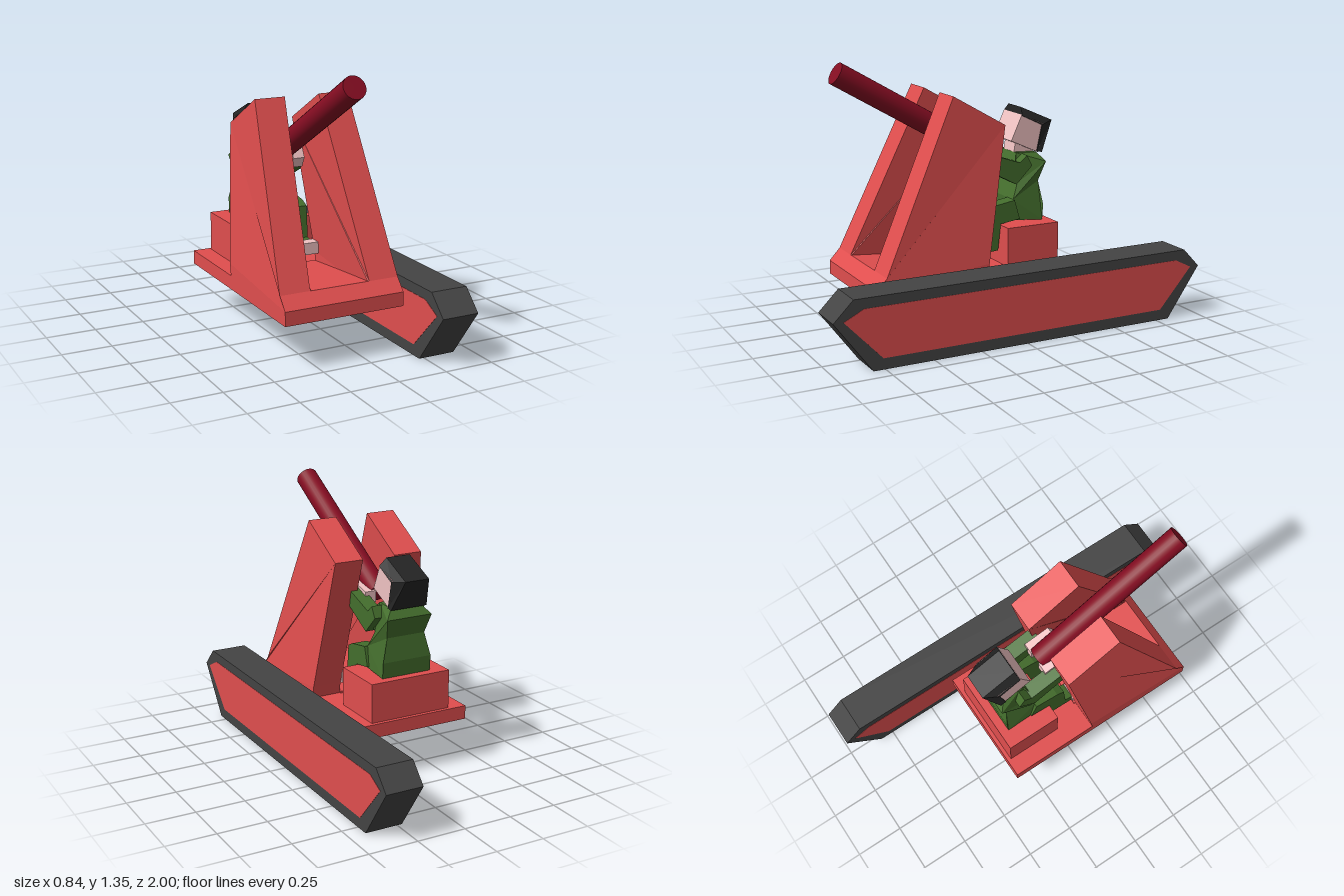
import * as THREE from 'three';

const CX = -0.11; // centre line of the hull, gun and driver
const COLORS = { red: 0xe04e4e, rubber: 0x444444, gun: 0x850d22, green: 0x446e2d, skin: 0xf0c2c2, black: 0x242424 };
const mats = {};
for (const k in COLORS) {
  mats[k] = new THREE.MeshStandardMaterial({ color: COLORS[k], flatShading: k !== 'gun' });
}

// Extrudes a side profile of [z, y] points across x; shape(v, s) may move each vertex, s = side -1 / 1
function slab(name, mat, profile, x, width, shape) {
  const outline = new THREE.Shape(profile.map(([z, y]) => new THREE.Vector2(z, y)));
  const g = new THREE.ExtrudeGeometry(outline, { depth: width, bevelEnabled: false });
  g.rotateY(-Math.PI / 2).translate(width / 2, 0, 0);
  const p = g.attributes.position;
  const v = new THREE.Vector3();
  for (let i = 0; i < p.count; i++) {
    v.fromBufferAttribute(p, i);
    if (shape) shape(v, Math.sign(v.x));
    p.setXYZ(i, v.x + x, v.y, v.z);
  }
  g.computeVertexNormals();
  const mesh = new THREE.Mesh(g, mats[mat]);
  mesh.name = name;
  return mesh;
}

// Linear interpolation through [y, value] stops
function stops(list, y) {
  if (y <= list[0][0]) return list[0][1];
  for (let i = 1; i < list.length; i++) {
    const [a, b] = [list[i - 1], list[i]];
    if (y <= b[0]) return a[1] + ((b[1] - a[1]) * (y - a[0])) / (b[0] - a[0]);
  }
  return list[list.length - 1][1];
}

const rect = (z0, z1, y0, y1) => [[z0, y0], [z1, y0], [z1, y1], [z0, y1]];

function buildTrack() {
  const track = new THREE.Group();
  track.name = 'track';
  track.add(slab('trackBelt', 'rubber',
    [[1, 0.255], [0.9, 0.355], [-0.91, 0.355], [-1, 0.26], [-0.82, 0], [0.81, 0]], 0.32, 0.19));
  // inset panels on both faces
  const panel = [[0.95, 0.255], [0.85, 0.305], [-0.86, 0.305], [-0.95, 0.26], [-0.77, 0.055], [0.76, 0.055]];
  track.add(slab('trackPanels', 'red', panel, 0.32, 0.193));
  return track;
}

function buildHull() {
  const hull = new THREE.Group();
  hull.name = 'hull';
  hull.add(slab('basePlate', 'red', rect(-0.36, 0.7, 0.23, 0.3), CX, 0.62));
  hull.add(slab('frontSill', 'red', [[0.7, 0.3], [0.645, 0.36], [0.1, 0.31], [0.1, 0.3]], CX, 0.31));
  hull.add(slab('seat', 'red', rect(-0.34, -0.05, 0.3, 0.5), CX, 0.44));

  // two shields leaning inward towards the top
  const side = [[0.7, 0.3], [0.645, 0.36], [0.26, 1.19], [-0.02, 1.03], [0.1, 0.36], [0.11, 0.3]];
  for (const m of [-1, 1]) {
    hull.add(slab(m > 0 ? 'leftShield' : 'rightShield', 'red', side, CX, 0.2, (v, s) => {
      const top = v.y > 0.5;
      const outer = s === m;
      v.x = m * (outer ? (top ? 0.245 : 0.31) : (top ? 0.09 : 0.155));
    }));
  }

  // gun barrel tilted 30 degrees up
  const a = new THREE.Vector3(CX, 0.85, -0.02);
  const b = new THREE.Vector3(CX, 1.302, 0.76);
  const barrel = new THREE.Mesh(new THREE.CylinderGeometry(0.057, 0.057, a.distanceTo(b), 24), mats.gun);
  barrel.name = 'barrel';
  barrel.position.copy(a).lerp(b, 0.5);
  barrel.quaternion.setFromUnitVectors(new THREE.Vector3(0, 1, 0), b.clone().sub(a).normalize());
  hull.add(barrel);
  return hull;
}

function buildDriver() {
  const driver = new THREE.Group();
  driver.name = 'driver';

  // torso, narrow at the waist and neck
  const widths = [[0.5, 0.135], [0.58, 0.135], [0.7, 0.105], [0.8, 0.125], [0.85, 0.08]];
  driver.add(slab('torso', 'green', [
    [-0.295, 0.5], [-0.13, 0.515], [-0.13, 0.62], [-0.165, 0.7], [-0.14, 0.79], [-0.17, 0.85],
    [-0.285, 0.845], [-0.32, 0.8], [-0.285, 0.7], [-0.3, 0.58],
  ], CX, 0.2, (v, s) => { v.x = s * stops(widths, v.y); }));

  // limbs, mirrored
  for (const m of [-1, 1]) {
    const n = m > 0 ? 'left' : 'right';
    driver.add(slab(n + 'Arm', 'green',
      [[-0.23, 0.79], [-0.14, 0.7], [0.03, 0.79], [0.03, 0.875], [-0.16, 0.81], [-0.2, 0.845]],
      CX + m * 0.105, 0.075));
    driver.add(slab(n + 'Hand', 'skin',
      [[-0.045, 0.81], [0.09, 0.8], [0.115, 0.85], [0.09, 0.9], [-0.045, 0.87]], CX + m * 0.06, 0.06));
    driver.add(slab(n + 'Leg', 'green', [
      [-0.16, 0.52], [-0.05, 0.505], [-0.035, 0.37], [0.1, 0.36], [0.1, 0.41], [0.05, 0.42],
      [0.035, 0.58], [-0.005, 0.6], [-0.13, 0.62],
    ], CX + m * 0.103, 0.08));
    driver.add(slab(n + 'Foot', 'skin', rect(0.09, 0.15, 0.36, 0.42), CX + m * 0.11, 0.085));
  }

  // neck, face and cap, tilted forward
  driver.add(slab('neck', 'skin', [[-0.17, 0.84], [-0.28, 0.83], [-0.28, 0.9], [-0.18, 0.9]], CX, 0.11));
  driver.add(slab('face', 'skin',
    [[-0.135, 0.915], [-0.195, 1.045], [-0.32, 0.99], [-0.29, 0.845]], CX, 0.19));
  const cap = [[-0.195, 1.04], [-0.31, 0.985], [-0.28, 0.85], [-0.31, 0.845], [-0.385, 1.0], [-0.205, 1.08]];
  driver.add(slab('hair', 'black', cap, CX, 0.2, (v, s) => {
    if (v.z < -0.38 || v.y > 1.07) v.x = s * 0.065;
  }));
  return driver;
}

export function createModel() {
  const model = new THREE.Group();
  model.name = 'gunCarriage';
  model.add(buildTrack(), buildHull(), buildDriver());
  return model;
}
